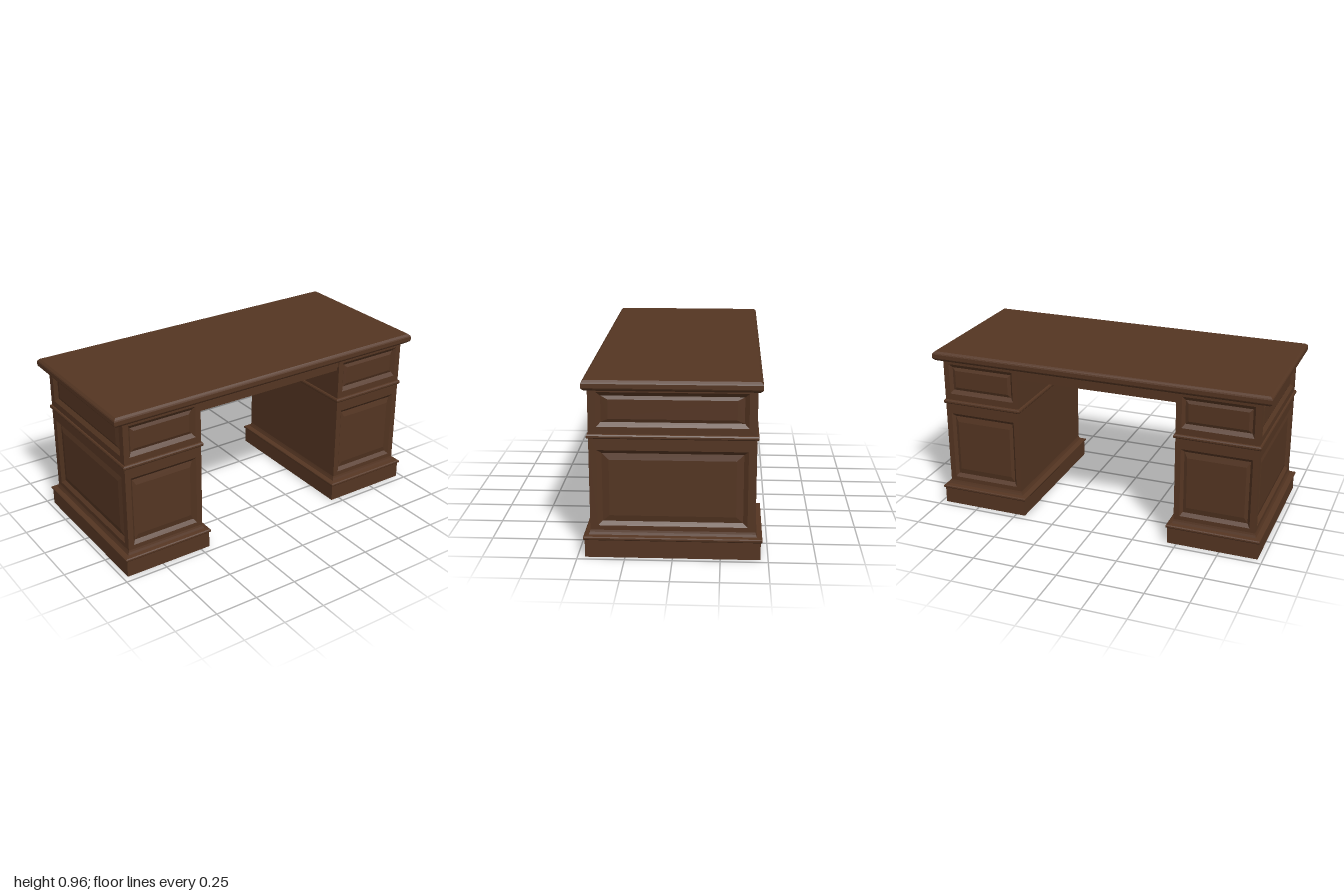
import * as THREE from 'three';

const wood = new THREE.MeshStandardMaterial({ color: 0x543522, side: THREE.DoubleSide });
wood.name = 'darkBrownWood';

// Flat-sided skin over a series of four-cornered loops, with optional end faces
function loft(loops, { start = false, end = false } = {}) {
  const pos = [];
  const quad = (a, b, c, d) => pos.push(...a, ...b, ...c, ...a, ...c, ...d);
  for (let k = 0; k + 1 < loops.length; k++) {
    const p = loops[k], q = loops[k + 1];
    for (let i = 0; i < 4; i++) {
      const j = (i + 1) % 4;
      quad(p[i], p[j], q[j], q[i]);
    }
  }
  if (start) quad(...[...loops[0]].reverse());
  if (end) quad(...loops[loops.length - 1]);
  const g = new THREE.BufferGeometry();
  g.setAttribute('position', new THREE.Float32BufferAttribute(pos, 3));
  g.computeVertexNormals();
  return g;
}

function part(name, geometry, parent) {
  const mesh = new THREE.Mesh(geometry, wood);
  mesh.name = name;
  parent.add(mesh);
  return mesh;
}

// Moulding profile [outward offset, y] carried around a rectangle
const around = (hx, hz, profile) => profile.map(([o, y]) =>
  [[hx + o, y, hz + o], [hx + o, y, -hz - o], [-hx - o, y, -hz - o], [-hx - o, y, hz + o]]);

// Upright rectangle facing +z
const rect = (hw, y0, y1, z) => [[-hw, y0, z], [hw, y0, z], [hw, y1, z], [-hw, y1, z]];

const HX = 0.235, HZ = 0.432, CX = 0.708;
const BOTTOM = 0.13, MIDDLE = 0.656, TOP = 0.915;

// One framed section with a sunken bevel and a raised field
function panelSection(hw, dist, [s0, s1], [p0, p1], [m1, m2, m3], [v1, v2]) {
  return loft([
    rect(hw, s0, s1, dist),
    rect(hw - m1, p0, p1, dist),
    rect(hw - m2, p0 + v1, p1 - v1, dist - 0.017),
    rect(hw - m3, p0 + v2, p1 - v2, dist - 0.009),
  ], { end: true });
}

function panelledFace(name, hw, dist, margins, angle, parent) {
  const face = new THREE.Group();
  face.name = name;
  part('doorPanel', panelSection(hw, dist, [BOTTOM, MIDDLE], [0.168, 0.582], margins, [0.02, 0.054]), face);
  part('drawerPanel', panelSection(hw, dist, [MIDDLE, TOP], [0.707, 0.89], margins, [0.022, 0.04]), face);
  face.rotation.y = angle;
  parent.add(face);
}

// Hollow pedestal, open underneath, outer side towards +x
function pedestal(name) {
  const g = new THREE.Group();
  g.name = name;
  const narrow = [0.033, 0.049, 0.068], wide = [0.042, 0.065, 0.102];
  panelledFace('frontFace', HX, HZ, narrow, 0, g);
  panelledFace('backFace', HX, HZ, narrow, Math.PI, g);
  panelledFace('outerSide', HZ, HX, wide, Math.PI / 2, g);
  part('innerSide', loft([rect(HZ, BOTTOM, TOP, HX)], { end: true }), g).rotation.y = -Math.PI / 2;
  part('plinth', loft(around(HX, HZ, [
    [0.028, 0], [0.028, 0.095], [0.033, 0.098], [0.036, 0.103], [0.036, 0.111],
    [0.03, 0.115], [0.008, 0.119], [0.003, 0.132], [0, 0.143],
  ])), g);
  part('middleMoulding', loft(around(HX, HZ, [
    [0, 0.643], [0.006, 0.645], [0.01, 0.651], [0.01, 0.66], [0.006, 0.667], [0, 0.669],
  ])), g);
  return g;
}

export function createModel() {
  const desk = new THREE.Group();
  desk.name = 'pedestalDesk';

  // Pedestals, the second turned around to mirror the first
  const left = pedestal('leftPedestal');
  left.position.x = CX;
  const right = pedestal('rightPedestal');
  right.position.x = -CX;
  right.rotation.y = Math.PI;
  desk.add(left, right);

  // Top board with chamfered edges
  part('deskTop', loft(around(0.98, 0.437, [
    [0.004, 0.908], [0.017, 0.919], [0.02, 0.925], [0.02, 0.947], [0.017, 0.954], [0.006, 0.964],
  ]), { start: true, end: true }), desk);

  // Centre drawer between the pedestals, with a rail along front and back
  const halfSpan = CX - HX;
  const drawer = part('centreDrawer', new THREE.BoxGeometry(2 * halfSpan, 0.067, 0.83), desk);
  drawer.position.y = 0.8785;
  for (const s of [1, -1]) {
    const rail = part(s > 0 ? 'frontRail' : 'backRail',
      new THREE.BoxGeometry(2 * halfSpan, 0.042, 0.012), desk);
    rail.position.set(0, 0.891, s * 0.42);
  }
  return desk;
}
